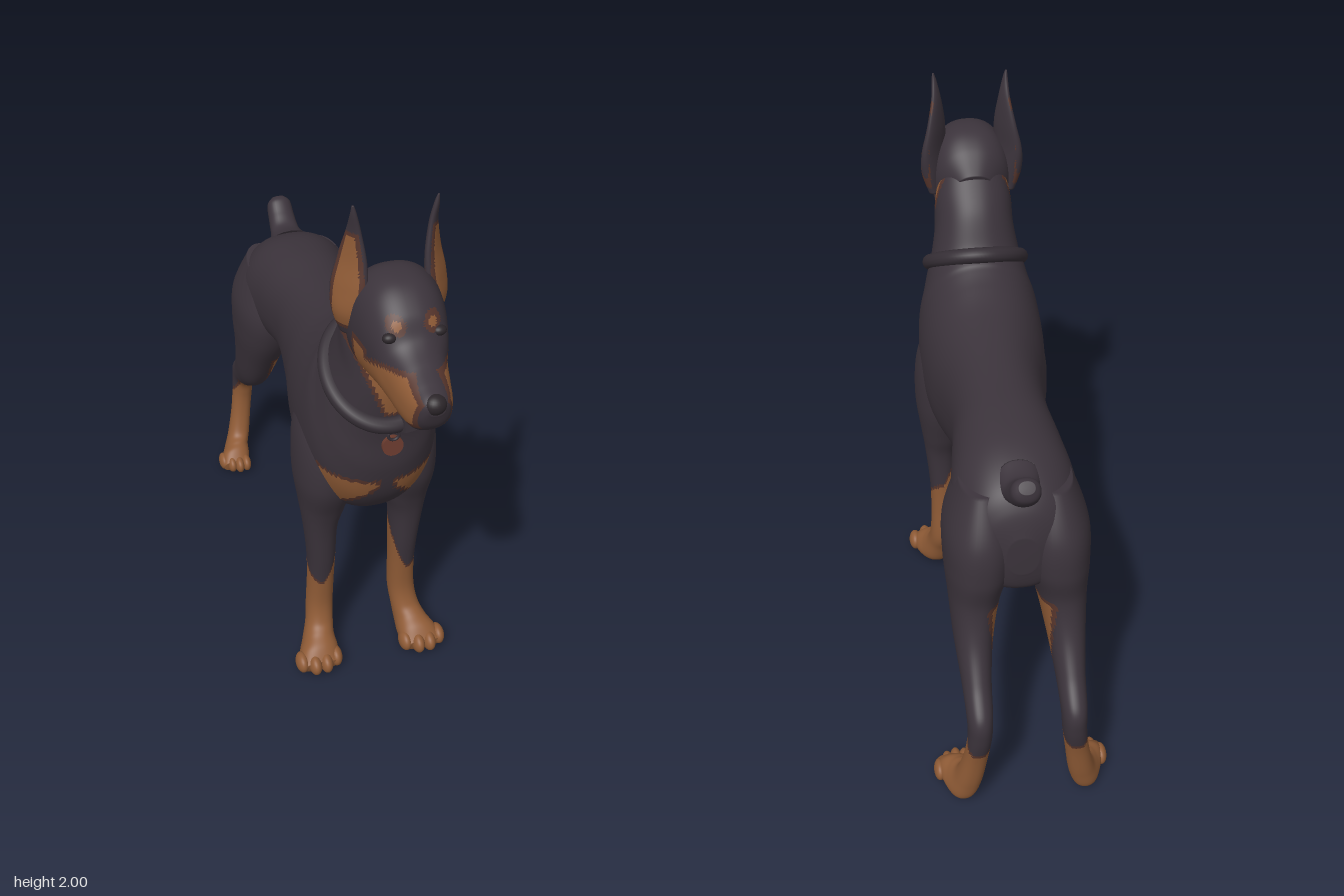
import * as THREE from 'three';

const mat = (name, color) => {
  const m = new THREE.MeshStandardMaterial({ color });
  m.name = name;
  return m;
};

// Signed distance to a convex polygon given as [[u, v], ...]; negative inside
function convex(poly, u, v) {
  let area = 0, d = -Infinity;
  const next = (i) => poly[(i + 1) % poly.length];
  poly.forEach((p, i) => { area += p[0] * next(i)[1] - next(i)[0] * p[1]; });
  poly.forEach((p, i) => {
    const q = next(i), ex = q[0] - p[0], ey = q[1] - p[1];
    const c = (ex * (v - p[1]) - ey * (u - p[0])) / Math.hypot(ex, ey);
    d = Math.max(d, area > 0 ? -c : c);
  });
  return d;
}

// Smooth skin through oval rings. A ring is [zA, yA, zB, yB, halfWidth, centreX]:
// A and B are its two ends in the side plane. paint(x, y, z) < 0 marks the tan areas.
function loft(name, rings, mats, { side = 1, around = 56, steps = 9, power = 0.9, paint } = {}) {
  const pos = [], tris = [];
  const at = (i, k) => rings[Math.min(Math.max(i, 0), rings.length - 1)][k] ?? 0;
  const sample = (t, k) => {
    const i = Math.min(Math.floor(t), rings.length - 2), f = t - i;
    const [p0, p1, p2, p3] = [at(i - 1, k), at(i, k), at(i + 1, k), at(i + 2, k)];
    return p1 + 0.5 * f * (p2 - p0 + f * (2 * p0 - 5 * p1 + 4 * p2 - p3 + f * (3 * (p1 - p2) + p3 - p0)));
  };
  const soft = (v) => Math.sign(v) * Math.abs(v) ** power;
  const count = (rings.length - 1) * steps;
  for (let i = 0; i <= count; i++) {
    const [za, ya, zb, yb, w, cx] = [0, 1, 2, 3, 4, 5].map((k) => sample(i / steps, k));
    for (let j = 0; j < around; j++) {
      const a = (j / around) * Math.PI * 2, c = soft(Math.cos(a)), s = soft(Math.sin(a));
      pos.push(side * (cx + w * s), (ya + yb) / 2 + c * (ya - yb) / 2, (za + zb) / 2 + c * (za - zb) / 2);
      if (i < count) {
        const p = i * around + j, q = i * around + (j + 1) % around;
        tris.push([p, q, p + around], [q, q + around, p + around]);
      }
    }
  }
  // End caps
  for (const end of [0, count]) {
    const centre = pos.length / 3, base = end * around;
    pos.push(side * at(end / steps, 5), (at(end / steps, 1) + at(end / steps, 3)) / 2, (at(end / steps, 0) + at(end / steps, 2)) / 2);
    for (let j = 0; j < around; j++) {
      const p = base + j, q = base + (j + 1) % around;
      tris.push(end ? [p, q, centre] : [q, p, centre]);
    }
  }
  // Turn faces outward and sort them by colour
  const v = (i) => new THREE.Vector3(pos[i * 3], pos[i * 3 + 1], pos[i * 3 + 2]);
  const origin = v(0);
  let volume = 0;
  const buckets = [[], [], []];
  for (const t of tris) {
    const [a, b, c] = t.map((i) => v(i).sub(origin));
    volume += a.dot(b.cross(c));
  }
  for (const t of tris) {
    const m = t.map(v).reduce((s, p) => s.add(p), new THREE.Vector3()).divideScalar(3);
    const d = paint ? paint(side * m.x, m.y, m.z) : 1;
    buckets[d < 0 ? 2 : d < 0.014 ? 1 : 0].push(...(volume < 0 ? [t[0], t[2], t[1]] : t));
  }
  const geo = new THREE.BufferGeometry();
  geo.setAttribute('position', new THREE.Float32BufferAttribute(pos, 3));
  geo.setIndex(buckets.flat());
  let start = 0;
  buckets.forEach((b, i) => {
    if (b.length) geo.addGroup(start, b.length, i);
    start += b.length;
  });
  geo.computeVertexNormals();
  const mesh = new THREE.Mesh(geo, mats);
  mesh.name = name;
  return mesh;
}

function ball(name, material, [x, y, z], [rx, ry, rz]) {
  const m = new THREE.Mesh(new THREE.SphereGeometry(1, 24, 16), material);
  m.name = name;
  m.position.set(x, y, z);
  m.scale.set(rx, ry, rz);
  return m;
}

export function createModel() {
  const dog = new THREE.Group();
  dog.name = 'dog';
  const coat = mat('darkCoat', 0x3b333b), edge = mat('brownEdge', 0x56352c), tan = mat('tan', 0x8f5b36);
  const leather = mat('collarLeather', 0x352e35), black = mat('noseBlack', 0x2b2529), copper = mat('tagCopper', 0x6a3b2e);
  const coats = [coat, edge, tan];

  // Torso and neck, rump to throat
  const chestPatch = [[0.2, 0.965], [0.03, 0.945], [0.03, 0.93], [0.13, 0.81], [0.18, 0.82], [0.205, 0.92]];
  dog.add(loft('torsoAndNeck', [
    [-0.79, 1.02, -0.79, 0.88, 0.05], [-0.76, 1.11, -0.77, 0.81, 0.13], [-0.70, 1.18, -0.72, 0.78, 0.18],
    [-0.58, 1.235, -0.6, 0.78, 0.205], [-0.42, 1.26, -0.44, 0.84, 0.185], [-0.25, 1.272, -0.25, 0.86, 0.165],
    [-0.08, 1.29, -0.05, 0.775, 0.18], [0.08, 1.32, 0.12, 0.715, 0.21], [0.19, 1.36, 0.27, 0.69, 0.225],
    [0.25, 1.39, 0.42, 0.73, 0.225], [0.27, 1.405, 0.53, 0.85, 0.215], [0.285, 1.415, 0.58, 1.0, 0.195],
    [0.30, 1.425, 0.59, 1.13, 0.18], [0.32, 1.45, 0.605, 1.23, 0.162], [0.37, 1.55, 0.615, 1.33, 0.143],
    [0.43, 1.63, 0.61, 1.42, 0.138], [0.50, 1.72, 0.62, 1.5, 0.12],
  ], coats, {
    around: 80,
    paint: (x, y, z) => {
      x = Math.abs(x);
      const chest = Math.max(convex(chestPatch, x, y), 0.3 - z);
      const throat = Math.max(x - 0.02 - (y - 1.26) * 0.4, 1.26 - y, 0.5 - z);
      const groin = Math.max(Math.abs(z + 0.42) - 0.1, y - 0.87);
      return Math.min(chest, throat, groin);
    },
  }));

  // Head, nape to nose
  const lip = [[0.96, 1.55], [0.94, 1.47], [0.88, 1.447], [0.7, 1.447], [0.64, 1.47], [0.66, 1.54], [0.78, 1.572], [0.88, 1.59]];
  const cheek = [[0.61, 1.41], [0.69, 1.44], [0.7, 1.58], [0.64, 1.59]];
  dog.add(loft('head', [
    [0.44, 1.66, 0.52, 1.46, 0.08], [0.50, 1.74, 0.56, 1.42, 0.132], [0.58, 1.785, 0.62, 1.42, 0.143],
    [0.68, 1.78, 0.68, 1.425, 0.133], [0.76, 1.725, 0.74, 1.43, 0.115], [0.805, 1.655, 0.80, 1.425, 0.096],
    [0.87, 1.615, 0.87, 1.42, 0.082], [0.93, 1.59, 0.925, 1.43, 0.068], [0.97, 1.575, 0.965, 1.47, 0.048],
    [0.988, 1.56, 0.985, 1.52, 0.025],
  ], coats, {
    around: 80, steps: 12, power: 0.85,
    paint: (x, y, z) => {
      x = Math.abs(x);
      const muzzle = Math.max(Math.min(convex(lip, z, y), convex(cheek, z, y)), 0.035 - x);
      const brow = Math.max(Math.hypot(x - 0.055, y - 1.695) - 0.014, 0.7 - z);
      const throat = Math.max(x - 0.07, y - 1.45, 0.52 - z, z - 0.76);
      return Math.min(muzzle, brow, throat);
    },
  }));
  dog.add(ball('nose', black, [0, 1.548, 0.963], [0.036, 0.032, 0.034]));

  // Docked tail and belly sheath
  dog.add(loft('tail', [
    [-0.64, 1.22, -0.72, 1.1, 0.07], [-0.71, 1.205, -0.755, 1.13, 0.056], [-0.76, 1.235, -0.81, 1.165, 0.05],
    [-0.80, 1.27, -0.85, 1.21, 0.045], [-0.825, 1.275, -0.852, 1.245, 0.025],
  ], coats, { around: 32 }));
  dog.add(ball('sheath', coat, [0, 0.85, -0.38], [0.035, 0.04, 0.075]));

  // Collar and tag
  const loop = [];
  for (let i = 0; i < 24; i++) {
    const a = (i / 24) * Math.PI * 2, c = Math.cos(a);
    loop.push(new THREE.Vector3(0.166 * Math.sin(a), 1.325 - 0.105 * c, 0.453 + 0.165 * c));
  }
  const collar = new THREE.Mesh(new THREE.TubeGeometry(new THREE.CatmullRomCurve3(loop, true), 96, 0.028, 12, true), leather);
  collar.name = 'collar';
  const buckle = new THREE.Mesh(new THREE.BoxGeometry(0.06, 0.05, 0.03), leather);
  buckle.name = 'buckle';
  buckle.position.set(0.05, 1.225, 0.628);
  buckle.rotation.set(-0.4, 0.3, 0);
  const ring = new THREE.Mesh(new THREE.TorusGeometry(0.018, 0.005, 8, 20), leather);
  ring.name = 'tagRing';
  ring.position.set(0, 1.18, 0.62);
  const tag = new THREE.Mesh(new THREE.CylinderGeometry(0.035, 0.035, 0.014, 28), copper);
  tag.name = 'tag';
  tag.rotation.x = Math.PI / 2 - 0.1;
  tag.position.set(0, 1.132, 0.61);
  dog.add(collar, buckle, ring, tag);

  for (const side of [1, -1]) {
    const label = side > 0 ? 'left' : 'right';

    // Upright ear, tan on the open side
    const ear = loft(label + 'Ear', [
      [0.035, 1.56, -0.035, 1.56, 0.02], [0.06, 1.64, -0.055, 1.64, 0.032, 0.012], [0.07, 1.72, -0.062, 1.72, 0.026, 0.01],
      [0.06, 1.81, -0.045, 1.81, 0.018, 0], [0.04, 1.90, -0.015, 1.90, 0.012, 0], [0.03, 1.965, 0.008, 1.965, 0.008, 0.01],
      [0.024, 1.995, 0.016, 1.995, 0.003, 0.015],
    ], coats, {
      side, around: 40,
      paint: (x, y, z) => Math.max(0.008 - x, Math.abs(z - 0.008) - 0.046 + Math.max(0, y - 1.74) * 0.2, y - 1.89, 1.6 - y),
    });
    ear.position.set(side * 0.128, 0, 0.558);
    ear.rotation.y = -0.64 * side;
    dog.add(ear);
    dog.add(ball(label + 'Eye', black, [side * 0.075, 1.662, 0.775], [0.022, 0.016, 0.018]));

    // Front leg, shoulder to paw
    dog.add(loft(label + 'FrontLeg', [
      [0.40, 1.14, 0.20, 1.2, 0.06, 0.12], [0.46, 1.0, 0.14, 1.03, 0.103, 0.133], [0.46, 0.84, 0.15, 0.85, 0.105, 0.142],
      [0.41, 0.70, 0.19, 0.70, 0.08, 0.15], [0.385, 0.6, 0.22, 0.6, 0.06, 0.157], [0.365, 0.45, 0.23, 0.45, 0.05, 0.153],
      [0.348, 0.33, 0.232, 0.33, 0.047, 0.153], [0.342, 0.22, 0.23, 0.19, 0.048, 0.157], [0.36, 0.15, 0.26, 0.11, 0.05, 0.165],
      [0.39, 0.12, 0.295, 0.03, 0.058, 0.178], [0.43, 0.095, 0.36, 0, 0.072, 0.19], [0.465, 0.055, 0.45, 0.003, 0.068, 0.197],
    ], coats, { side, paint: (x, y, z) => y - 0.33 - (0.35 - z) - Math.max(0, 0.155 - x) * 2.5 }));

    // Hind leg, hip to paw
    dog.add(loft(label + 'HindLeg', [
      [-0.44, 1.12, -0.72, 1.14, 0.07, 0.11], [-0.41, 0.97, -0.80, 0.99, 0.113, 0.12], [-0.44, 0.84, -0.815, 0.86, 0.11, 0.128],
      [-0.52, 0.70, -0.80, 0.74, 0.085, 0.143], [-0.62, 0.55, -0.83, 0.62, 0.065, 0.153], [-0.74, 0.455, -0.90, 0.51, 0.05, 0.155],
      [-0.85, 0.385, -0.98, 0.425, 0.043, 0.155], [-0.88, 0.31, -0.988, 0.34, 0.04, 0.157], [-0.88, 0.22, -0.965, 0.22, 0.04, 0.17],
      [-0.855, 0.13, -0.945, 0.09, 0.045, 0.19], [-0.82, 0.105, -0.92, 0.01, 0.05, 0.21], [-0.79, 0.09, -0.84, 0, 0.058, 0.225],
      [-0.755, 0.055, -0.765, 0.003, 0.052, 0.235],
    ], coats, {
      side,
      paint: (x, y, z) => Math.min(
        Math.max(y - 0.42, -0.83 - (0.42 - y) * 0.9 - z),
        Math.max(x - 0.11, y - 0.72, 0.4 - y, -0.78 - z),
      ),
    }));

    // Toes
    for (let i = 0; i < 4; i++) {
      const o = i - 1.5, middle = Math.abs(o) < 1;
      dog.add(ball(label + 'FrontToe', tan, [side * (0.198 + o * 0.042), 0.038, middle ? 0.45 : 0.425], [0.024, 0.037, 0.042]));
      dog.add(ball(label + 'HindToe', tan, [side * (0.236 + o * 0.03), 0.034, (middle ? -0.768 : -0.785) - o * 0.012], [0.02, 0.034, 0.04]));
    }
  }
  return dog;
}
